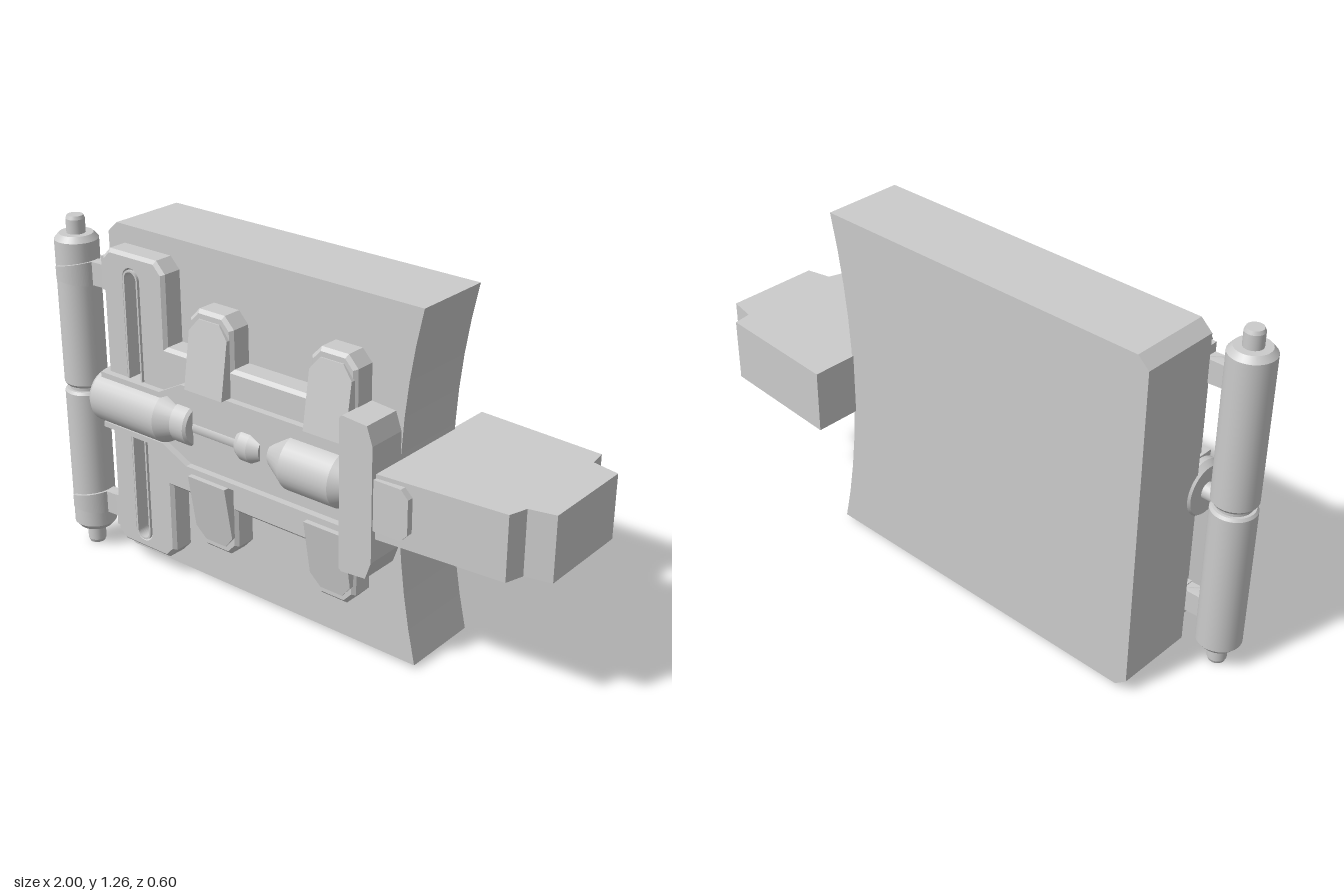
import * as THREE from 'three';

const MID = 0.633; // height of the horizontal mirror line
const grey = new THREE.MeshStandardMaterial({ color: 0xcccccc, side: THREE.DoubleSide });
const flat = new THREE.MeshStandardMaterial({ color: 0xcccccc, flatShading: true, side: THREE.DoubleSide });

const toShape = pts => new THREE.Shape(pts.map(p => new THREE.Vector2(p[0], p[1])));

export function createModel() {
  const model = new THREE.Group();

  function add(name, geometry, material = flat) {
    const mesh = new THREE.Mesh(geometry, material);
    mesh.name = name;
    model.add(mesh);
    return mesh;
  }

  // Extrude an x-y outline from z0 to z1
  function slab(name, shape, z0, z1, bevel = 0) {
    const g = new THREE.ExtrudeGeometry(shape, {
      depth: z1 - z0 - bevel, bevelEnabled: bevel > 0, bevelThickness: bevel,
      bevelSize: bevel, bevelOffset: -bevel, bevelSegments: 1, curveSegments: 10,
    });
    return add(name, g.translate(0, 0, z0));
  }

  // Extrude an x-z outline from y0 to y1
  function prism(shape, y0, y1) {
    const g = new THREE.ExtrudeGeometry(shape, { depth: y1 - y0, bevelEnabled: false, curveSegments: 16 });
    return g.rotateX(Math.PI / 2).translate(0, y1, 0);
  }

  // Upper half of an outline, offsets from the mid line, mirrored below
  const mirrored = half => toShape([
    ...half.map(([x, h]) => [x, MID + h]),
    ...half.slice().reverse().map(([x, h]) => [x, MID - h]),
  ]);

  // Lathe with crisp rings: each profile segment is its own band
  function turned(name, profile, place) {
    const group = new THREE.Group();
    group.name = name;
    for (let i = 1; i < profile.length; i++) {
      const g = new THREE.LatheGeometry([profile[i - 1], profile[i]].map(p => new THREE.Vector2(p[0], p[1])), 32);
      const mesh = new THREE.Mesh(g, grey);
      mesh.name = name + 'Band';
      group.add(mesh);
    }
    place(group);
    model.add(group);
  }

  // Main block with a concave right edge
  const block = new THREE.Shape();
  block.moveTo(-0.77, 0.015);
  block.lineTo(0.51, 0.015);
  block.quadraticCurveTo(0.36, MID, 0.51, 1.247);
  block.lineTo(-0.77, 1.253);
  block.lineTo(-0.812, 1.215);
  block.lineTo(-0.812, 0.05);
  slab('mainBlock', block, -0.14, 0.15);

  // Face plate with a tall strip, four tabs and a long slot
  const plate = mirrored([
    [-0.77, 0.52], [-0.735, 0.555], [-0.52, 0.555], [-0.482, 0.515], [-0.482, 0.26],
    [-0.37, 0.26], [-0.37, 0.395], [-0.33, 0.435], [-0.22, 0.435], [-0.182, 0.395], [-0.182, 0.26],
    [0.142, 0.26], [0.142, 0.395], [0.18, 0.435], [0.285, 0.435], [0.322, 0.395], [0.322, 0.2],
  ]);
  const slotPath = (r, Type) => {
    const s = new Type();
    s.absarc(-0.633, 1.1, r, 0, Math.PI);
    s.absarc(-0.633, 0.15, r, Math.PI, Math.PI * 2);
    s.closePath();
    return s;
  };
  plate.holes.push(slotPath(0.028, THREE.Path));
  slab('facePlate', plate, 0.145, 0.23, 0.012);
  const slotLip = slotPath(0.034, THREE.Shape);
  slotLip.holes.push(slotPath(0.027, THREE.Path));
  slab('slotLip', slotLip, 0.2, 0.234);

  // Wedge pads on the tabs, sloping down towards their outer ends
  for (const cx of [-0.276, 0.232]) {
    for (const side of [1, -1]) {
      const outline = [[-0.083, 0.16], [0.083, 0.16], [0.083, 0.36], [0.045, 0.405], [-0.045, 0.405], [-0.083, 0.36]];
      const pad = slab('tabPad', toShape(outline.map(([x, h]) => [cx + x, MID + side * h])), 0.2, 0.275);
      const p = pad.geometry.attributes.position;
      for (let i = 0; i < p.count; i++) {
        const h = Math.abs(p.getY(i) - MID);
        if (p.getZ(i) > 0.25) p.setZ(i, 0.275 - 0.04 * (h - 0.16) / 0.245);
      }
      pad.geometry.computeVertexNormals();
    }
  }

  // Raised rails framing the central channel
  for (const side of [1, -1]) {
    const outer = [[-0.78, 0.105], [-0.5, 0.105], [-0.395, 0.16], [0.315, 0.16]];
    const inner = [[0.315, 0.138], [-0.385, 0.138], [-0.495, 0.085], [-0.78, 0.085]];
    slab('channelRail', toShape([...outer, ...inner].map(([x, h]) => [x, MID + side * h])), 0.16, 0.255);
  }

  // Cross bar and its tongue
  slab('crossBar', mirrored([[0.31, 0.262], [0.32, 0.27], [0.415, 0.262], [0.437, 0.2]]), 0.15, 0.295);
  slab('tongue', mirrored([[0.42, 0.088], [0.54, 0.088], [0.567, 0.06]]), 0.2, 0.288);

  // Stepped arm block, its outer end slightly hollow
  const arm = new THREE.Shape();
  arm.moveTo(0.43, -0.305);
  [[0.895, -0.275], [0.905, -0.21], [1.0, -0.19], [1.0, 0.155], [0.91, 0.175], [0.89, 0.24], [0.43, 0.275]]
    .forEach(p => arm.lineTo(p[0], p[1]));
  add('armBlock', prism(arm, 0.51, 0.735));

  // Horizontal canister, rod, collar and vessel: radius, x position
  turned('centreAssembly', [
    [0, -0.82], [0.085, -0.82], [0.1, -0.8], [0.1, -0.5], [0.06, -0.42], [0.06, -0.44], [0.078, -0.44],
    [0.078, -0.38], [0.07, -0.37], [0.038, -0.37], [0.038, -0.17], [0.052, -0.17], [0.062, -0.15],
    [0.062, -0.11], [0.045, -0.07], [0.032, -0.07], [0.032, -0.03], [0.048, -0.03], [0.1, 0.06],
    [0.1, 0.26], [0.075, 0.305], [0, 0.305],
  ], g => {
    g.rotation.z = -Math.PI / 2;
    g.position.set(0, MID, 0.196);
  });

  // Upright hinge cylinders with end pins: radius, y position
  turned('hingeCylinders', [
    [0, 0], [0.028, 0], [0.033, 0.012], [0.033, 0.072], [0.06, 0.072], [0.077, 0.092], [0.077, 0.618],
    [0.07, 0.628], [0.06, 0.628], [0.06, 0.645], [0.07, 0.645], [0.077, 0.655], [0.077, 1.18],
    [0.06, 1.2], [0.033, 1.2], [0.033, 1.25], [0.028, 1.262], [0, 1.262],
  ], g => g.position.set(-0.923, 0, 0.198));

  // Pin joining the hinge to the canister
  const pin = add('hingePin', new THREE.CylinderGeometry(0.03, 0.03, 0.12, 20), grey);
  pin.rotation.z = Math.PI / 2;
  pin.position.set(-0.85, MID, 0.196);

  // Brackets curling round the front of the hinge cylinders
  for (const side of [1, -1]) {
    const y = MID + side * 0.44;
    const curl = new THREE.Shape();
    curl.moveTo(-0.77, 0.165);
    curl.lineTo(-0.77, 0.212);
    curl.lineTo(-0.835, 0.216);
    curl.absarc(-0.923, 0.198, 0.09, 0.2, Math.PI * 0.56, false);
    curl.absarc(-0.923, 0.198, 0.074, Math.PI * 0.56, -0.4, true);
    const g = prism(curl, y - 0.042, y + 0.042);
    const p = g.attributes.position;
    for (let i = 0; i < p.count; i++) {
      const k = THREE.MathUtils.clamp((p.getX(i) + 0.94) / 0.1, 0, 1);
      p.setY(i, y + (p.getY(i) - y) * (0.55 + 0.45 * k));
    }
    g.computeVertexNormals();
    add('hingeBracket', g);
    const strip = add('bracketFoot', new THREE.BoxGeometry(0.018, 0.12, 0.07));
    strip.position.set(-0.778, y + side * 0.015, 0.18);
  }

  return model;
}
